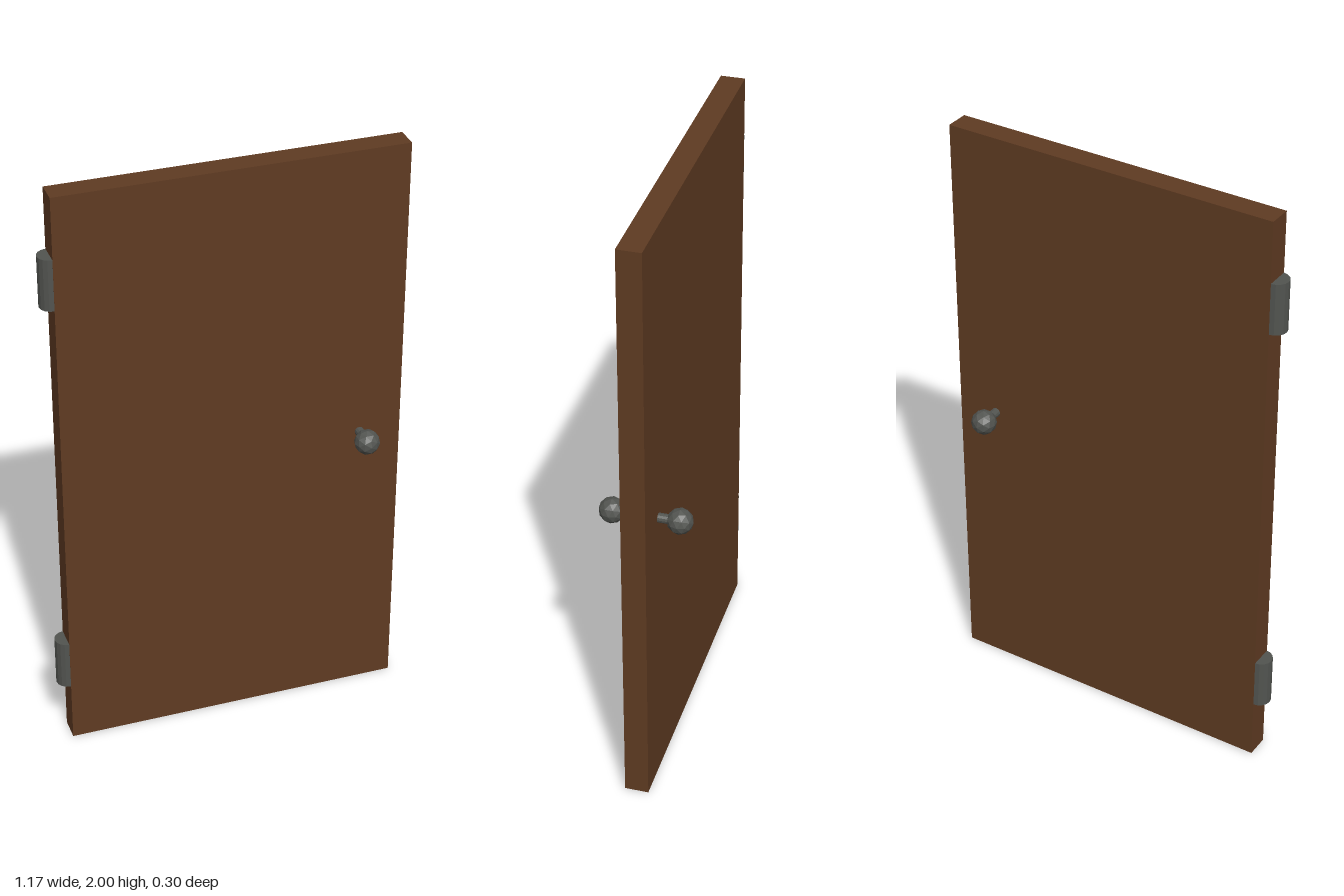
import * as THREE from 'three';

export function createModel() {
  const group = new THREE.Group();
  const wood = new THREE.MeshStandardMaterial({ color: 0x5f3b22 });
  wood.name = 'brown wood';
  const metal = new THREE.MeshStandardMaterial({ color: 0x525450, flatShading: true });
  metal.name = 'dark grey metal';

  const add = (name, geometry, material, x, y, z) => {
    const mesh = new THREE.Mesh(geometry, material);
    mesh.name = name;
    mesh.position.set(x, y, z);
    group.add(mesh);
    return mesh;
  };

  // Door slab, its hinge edge slightly inside the hinge barrels
  const left = -0.547, right = 0.584, thickness = 0.078;
  add('doorPanel', new THREE.BoxGeometry(right - left, 2, thickness), wood, (left + right) / 2, 1, 0);

  // Hinge barrels, half sunk into the door edge
  const barrel = new THREE.CylinderGeometry(0.0385, 0.0385, 0.172, 16);
  add('lowerHinge', barrel, metal, left, 0.296, 0);
  add('upperHinge', barrel, metal, left, 1.71, 0);

  // One spindle through the door with a faceted knob on each face
  const knobX = 0.445, knobZ = 0.108;
  const spindle = new THREE.CylinderGeometry(0.0155, 0.0155, knobZ * 2, 12).rotateX(Math.PI / 2);
  add('knobSpindle', spindle, metal, knobX, 1, 0);
  const knob = new THREE.IcosahedronGeometry(0.042, 1);
  add('frontKnob', knob, metal, knobX, 1, knobZ);
  add('backKnob', knob, metal, knobX, 1, -knobZ);

  return group;
}
